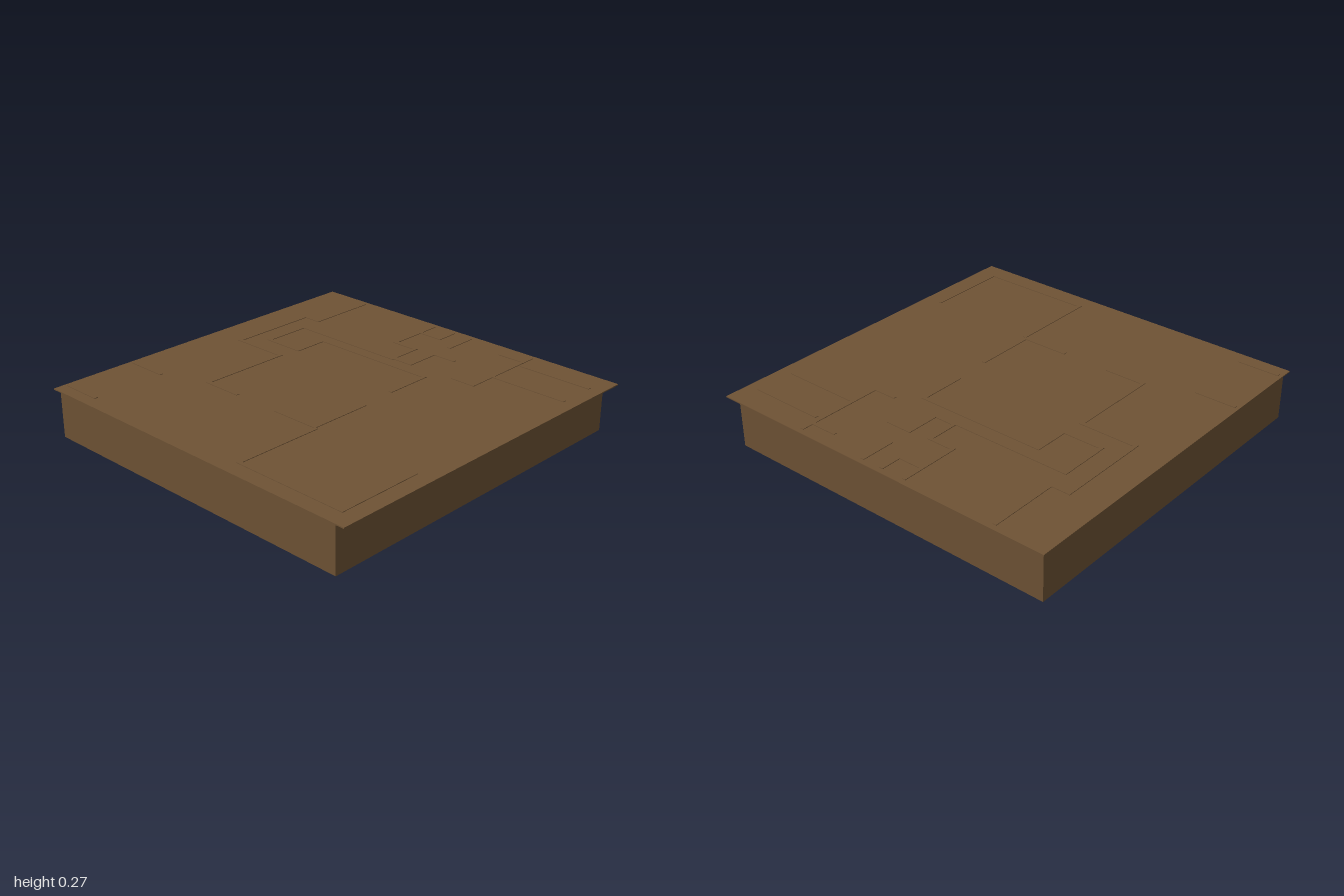
import * as THREE from 'three';

export function createModel() {
  const model = new THREE.Group();
  const timber = new THREE.MeshStandardMaterial({ color: 0x6f5335 });
  timber.name = 'brown timber';

  const T = 0.02; // wall thickness
  const box = (name, x1, x2, y1, y2, z1, z2, parent = model) => {
    const mesh = new THREE.Mesh(new THREE.BoxGeometry(x2 - x1, y2 - y1, z2 - z1), timber);
    mesh.position.set((x1 + x2) / 2, (y1 + y2) / 2, (z1 + z2) / 2);
    mesh.name = name;
    parent.add(mesh);
  };
  const wall = (name, x1, z1, x2, z2, top, parent) =>
    box(name, Math.min(x1, x2) - T / 2, Math.max(x1, x2) + T / 2, 0, top,
      Math.min(z1, z2) - T / 2, Math.max(z1, z2) + T / 2, parent);

  // Flat roof sheet, overhanging most on the left side
  box('roof', -1, 1, 0.264, 0.27, -1, 1);

  // Outer shell, open underneath
  const shell = new THREE.Group();
  shell.name = 'outerWalls';
  model.add(shell);
  wall('backWall', -0.97, -0.965, 0.92, -0.965, 0.268, shell);
  wall('frontWall', -0.97, 0.965, 0.92, 0.965, 0.268, shell);
  wall('rightWall', -0.97, -0.965, -0.97, 0.965, 0.268, shell);
  wall('leftWall', 0.92, -0.965, 0.92, 0.965, 0.268, shell);

  // Partitions as runs of x, z corners, just breaking through the roof
  const partitions = new THREE.Group();
  partitions.name = 'partitions';
  model.add(partitions);
  const runs = [
    // corridor around the back right
    [[-0.71, -0.96], [-0.71, -0.585], [-0.81, -0.585], [-0.81, -0.085], [-0.5, -0.085], [-0.5, 0.415], [-0.29, 0.415]],
    [[-0.04, -0.47], [-0.7, -0.46], [-0.7, -0.2], [-0.48, -0.2], [-0.48, -0.39], [0.24, -0.39], [0.24, -0.14]],
    // central room, front left corner
    [[0, 0.415], [0.255, 0.415], [0.255, 0.08]],
    // front left room
    [[0.27, 0.43], [0.27, 0.905], [0.9, 0.905], [0.9, 0.45]],
    // small rooms along the back
    [[-0.18, -0.96], [-0.18, -0.645], [-0.04, -0.645], [-0.04, -0.47], [0.08, -0.48], [0.08, -0.66], [0.21, -0.66]],
    [[-0.18, -0.85], [-0.04, -0.85], [-0.04, -0.96]],
    [[0.08, -0.96], [0.08, -0.79]],
    [[0.36, -0.48], [0.485, -0.48], [0.485, -0.96]],
    [[0.34, -0.9], [0.485, -0.9]],
    [[0.485, -0.635], [0.92, -0.635]],
    [[0.52, -0.85], [0.92, -0.85]],
    // front right closet
    [[-0.97, 0.515], [-0.76, 0.515]],
    [[-0.97, 0.925], [-0.76, 0.925]],
  ];
  for (const run of runs)
    for (let i = 1; i < run.length; i++)
      wall('partition', ...run[i - 1], ...run[i], 0.273, partitions);

  // Raised floors inside the rooms: x1, x2, z1, z2
  const floors = [
    [-0.5, 0.24, -0.39, 0.415],
    [0.27, 0.9, 0.43, 0.905],
    [-0.97, -0.76, 0.515, 0.925],
    [-0.81, -0.7, -0.585, -0.085],
    [-0.7, -0.5, -0.2, -0.085],
    [-0.71, -0.18, -0.96, -0.46],
    [0.485, 0.92, -0.96, -0.635],
  ];
  for (const [x1, x2, z1, z2] of floors) box('raisedFloor', x1, x2, 0.11, 0.12, z1, z2);

  // Short post in the front hall
  const post = new THREE.Mesh(new THREE.CylinderGeometry(0.035, 0.035, 0.12, 8), timber);
  post.position.set(-0.5, 0.06, 0.67);
  post.name = 'post';
  model.add(post);

  return model;
}
